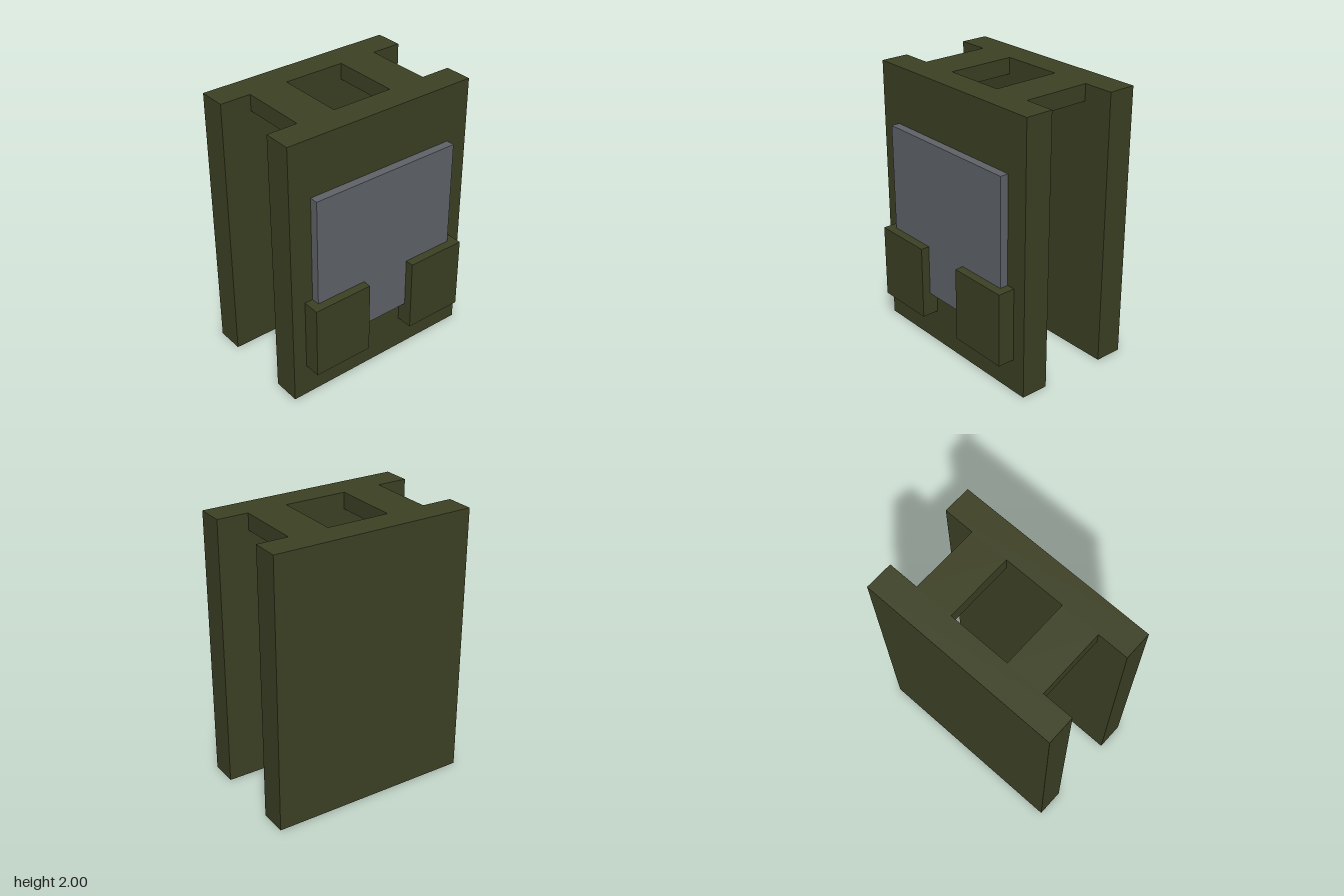
import * as THREE from 'three';

export function createModel() {
  const group = new THREE.Group();
  const olive = new THREE.MeshStandardMaterial({ color: 0x3d4124 });
  olive.name = 'olive fabric';
  const grey = new THREE.MeshStandardMaterial({ color: 0x5f6469 });
  grey.name = 'grey plate';

  // Box given by its lower and upper limits on each axis
  function block(name, material, [x0, x1], [y0, y1], [z0, z1]) {
    const mesh = new THREE.Mesh(new THREE.BoxGeometry(x1 - x0, y1 - y0, z1 - z0), material);
    mesh.position.set((x0 + x1) / 2, (y0 + y1) / 2, (z0 + z1) / 2);
    mesh.name = name;
    group.add(mesh);
  }

  // Large front and back panels
  block('frontPanel', olive, [-0.747, 0.747], [0, 2], [0.19, 0.395]);
  block('backPanel', olive, [-0.747, 0.747], [0, 2], [-0.52, -0.315]);

  // Plate on the front panel
  block('chestPlate', grey, [-0.58, 0.58], [0.42, 1.583], [0.395, 0.457]);

  // Shoulder straps and pouches, mirrored left and right
  for (const [side, s] of [['left', 1], ['right', -1]]) {
    const span = (a, b) => (s > 0 ? [a, b] : [-b, -a]);
    block(side + 'ShoulderStrap', olive, span(0.23, 0.52), [1.88, 2], [-0.315, 0.19]);
    block(side + 'Pouch', olive, span(0.19, 0.643), [0.25, 0.793], [0.395, 0.52]);
  }
  return group;
}
